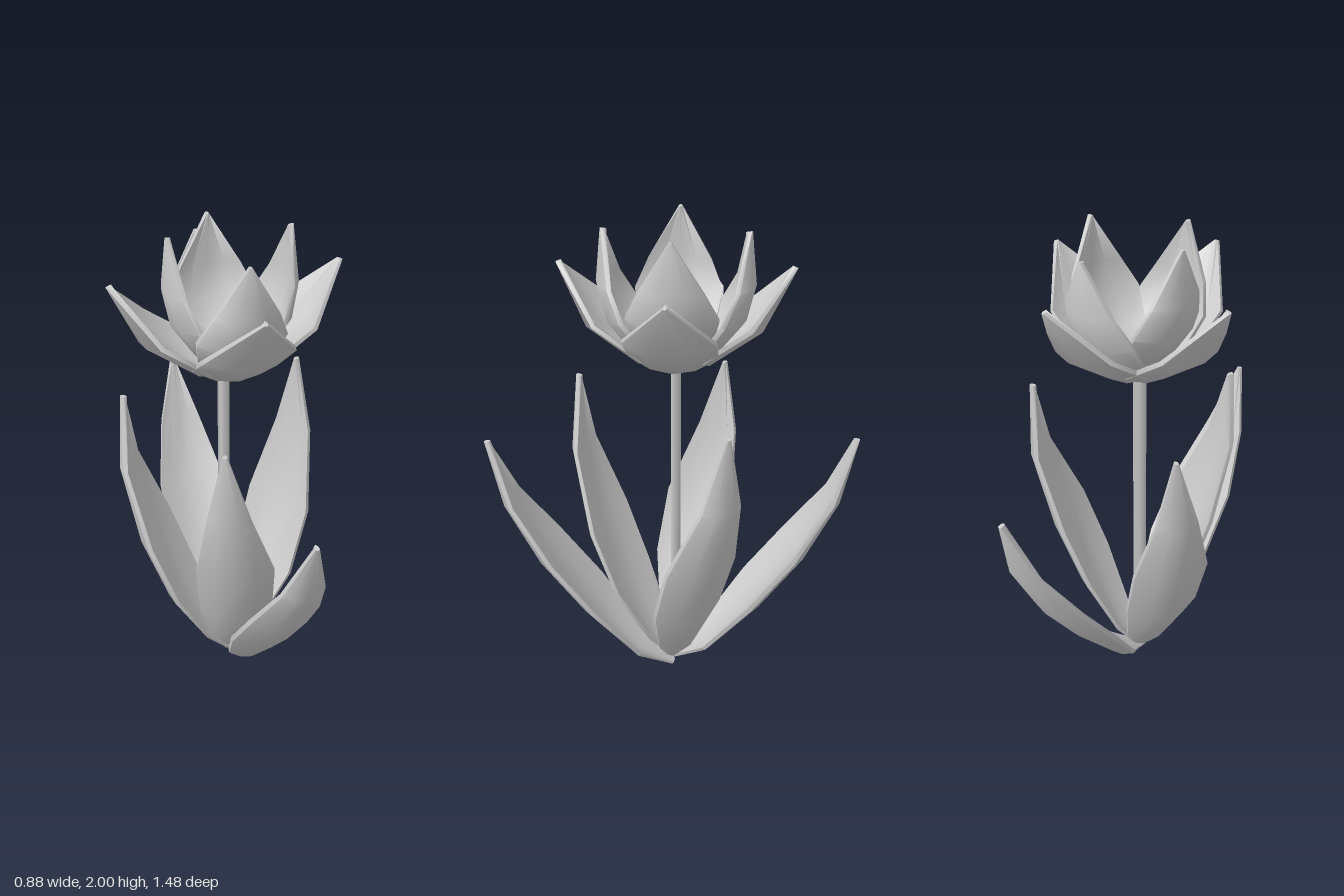
import * as THREE from 'three';
import { toCreasedNormals } from 'three/addons/utils/BufferGeometryUtils.js';

const material = new THREE.MeshStandardMaterial({ color: 0xcccccc });

// Cupped blade growing towards +z, thinner at its rim;
// each station is [reach, height, half width, sideways shift]
function bladeGeometry(stations, cup, thickness) {
  const across = 5, ring = across * 2;
  const widest = Math.max(...stations.map((s) => s[2]));
  const positions = [], index = [];
  const quad = (a, b, c, d) => index.push(a, b, c, a, c, d);

  stations.forEach(([r, y, half, shift = 0], i) => {
    const before = stations[Math.max(i - 1, 0)];
    const after = stations[Math.min(i + 1, stations.length - 1)];
    const inward = new THREE.Vector2(before[1] - after[1], after[0] - before[0]).normalize();
    const taper = half / widest;
    for (let k = 0; k < ring; k++) {
      const inner = k >= across;
      const u = ((inner ? ring - 1 - k : k) / (across - 1)) * 2 - 1;
      const wall = inner ? thickness * (0.65 + 0.35 * taper) * (1 - 0.5 * u * u) : 0;
      const depth = cup * u * u * taper + wall;
      positions.push(shift + u * half, y + inward.y * depth, r + inward.x * depth);
    }
  });
  const last = (stations.length - 1) * ring;
  for (let base = 0; base < last; base += ring) {
    for (let k = 0; k < ring; k++) {
      const next = (k + 1) % ring;
      quad(base + k, base + next, base + ring + next, base + ring + k);
    }
  }
  // Close both ends
  for (let k = 0; k < across - 1; k++) {
    quad(ring - 1 - k, ring - 2 - k, k + 1, k);
    quad(last + k, last + k + 1, last + ring - 2 - k, last + ring - 1 - k);
  }
  const geometry = new THREE.BufferGeometry();
  geometry.setAttribute('position', new THREE.Float32BufferAttribute(positions, 3));
  geometry.setIndex(index);
  return toCreasedNormals(geometry, 0.95);
}

// Tall leaf whose middle bows sideways
const tallLeafGeometry = (bow) => bladeGeometry([
  [0, 0.005, 0.015], [0.11, 0.13, 0.09, bow * 0.4], [0.255, 0.39, 0.152, bow],
  [0.365, 0.68, 0.155, bow], [0.445, 1.02, 0.085, bow * 0.4], [0.43, 1.33, 0.008],
], 0.07, 0.04);

export function createModel() {
  const model = new THREE.Group();

  const add = (parent, name, geometry, x = 0, y = 0, z = 0, heading = 0) => {
    const mesh = new THREE.Mesh(geometry, material);
    mesh.name = name;
    mesh.position.set(x, y, z);
    mesh.rotation.y = heading;
    parent.add(mesh);
    return mesh;
  };

  // Square stem
  add(model, 'stem', new THREE.CylinderGeometry(0.026, 0.026, 1.45, 4), -0.016, 0.755, -0.011, Math.PI / 4);

  // Leaves: two spreading low, three standing taller
  const lowLeaf = bladeGeometry([
    [0, 0, 0.015], [0.17, 0.09, 0.095], [0.38, 0.34, 0.152],
    [0.555, 0.59, 0.147], [0.685, 0.855, 0.087], [0.74, 1.13, 0.008],
  ], 0.065, 0.04);
  const leaves = new THREE.Group();
  leaves.name = 'leaves';
  model.add(leaves);
  add(leaves, 'frontLeaf', lowLeaf, 0.045, 0, 0, 0.07);
  add(leaves, 'backLeaf', lowLeaf, 0, 0, 0, Math.PI + 0.06);
  const bowedLeaf = tallLeafGeometry(0.038);
  add(leaves, 'rightBackLeaf', bowedLeaf, 0, 0, 0, Math.atan2(-0.38, -0.19)).scale.y = 0.975;
  add(leaves, 'rightFrontLeaf', bowedLeaf, 0, 0, -0.01, Math.atan2(-0.13, 0.4));
  add(leaves, 'leftBackLeaf', tallLeafGeometry(-0.03), 0.01, 0, 0, Math.atan2(0.37, -0.24));

  // Flower: an open outer ring and an upright inner ring, four petals each
  const outerPetal = bladeGeometry([
    [0.02, 1.455, 0.06], [0.14, 1.472, 0.168], [0.335, 1.615, 0.165], [0.44, 1.84, 0.006],
  ], 0.06, 0.035);
  const innerPetal = bladeGeometry([
    [0.02, 1.47, 0.06], [0.15, 1.52, 0.145], [0.245, 1.65, 0.168],
    [0.275, 1.79, 0.12], [0.255, 1.985, 0.006],
  ], 0.075, 0.035);
  const flower = new THREE.Group();
  flower.name = 'flower';
  flower.position.z = -0.011;
  model.add(flower);
  for (let i = 0; i < 4; i++) {
    const heading = (i * Math.PI) / 2;
    const sideways = i % 2 === 1;
    add(flower, 'outerPetal', outerPetal, 0, 0, 0, heading);
    const inner = add(flower, 'innerPetal', innerPetal, sideways ? 0.01 : 0, sideways ? 0.012 : -0.015, 0, heading);
    inner.scale.z = sideways ? 0.92 : 1.07;
  }
  return model;
}
